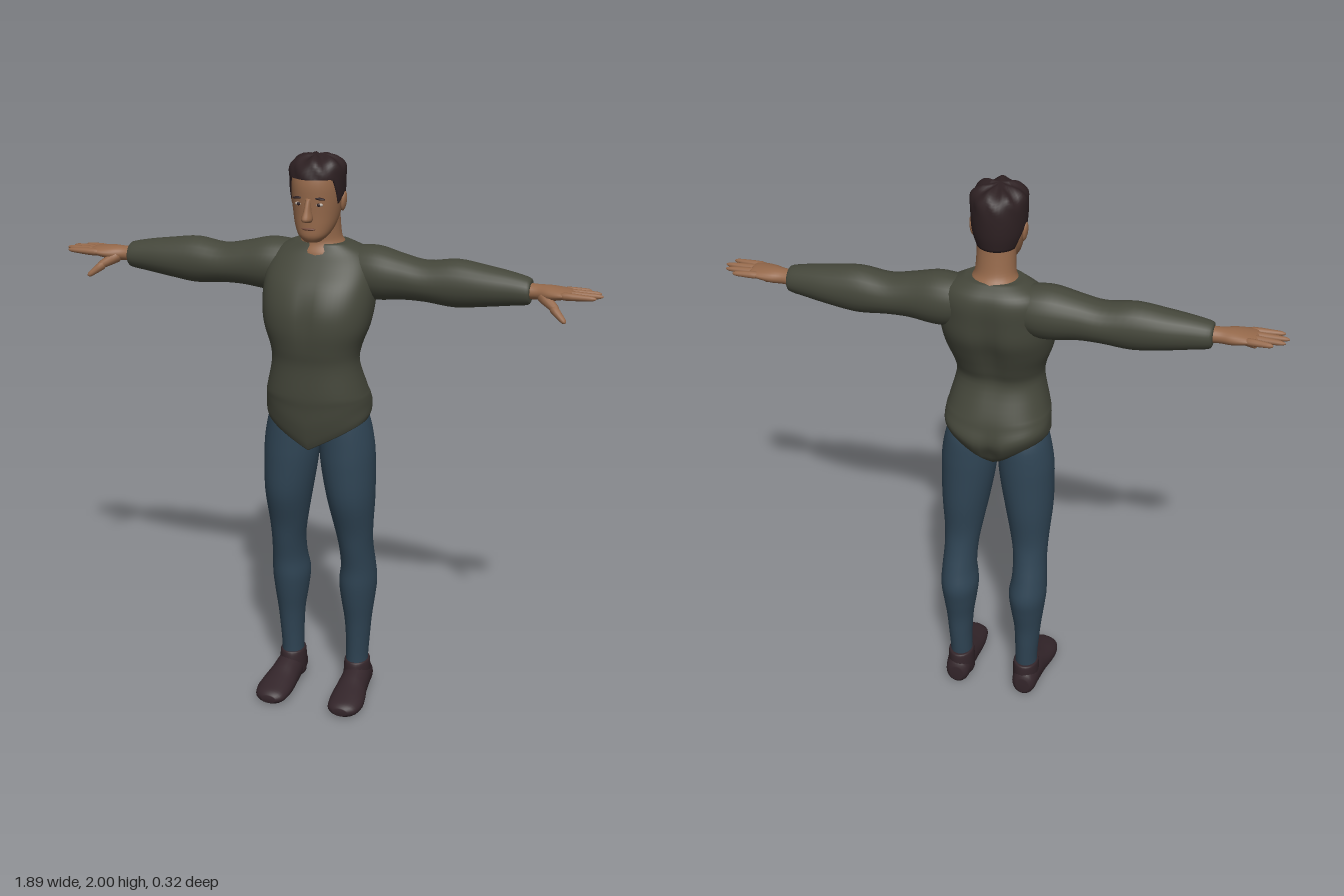
import * as THREE from 'three';

const mat = (name, color) => {
  const m = new THREE.MeshStandardMaterial({ color });
  m.name = name;
  return m;
};
const smooth = THREE.MathUtils.smoothstep;
const bell = (d, w) => Math.exp(-(d * d) / (w * w));

// Smooth skin over elliptical sections [position, centre1, centre2, radius1, radius2].
// Axis y: centres are x, z. Axis x: y, z. Axis z: x, y. Power < 1 squares the ellipse.
function loft(axis, sections, { n = 24, steps = 4, power = 1, warp } = {}) {
  const rows = [];
  const at = i => sections[Math.min(Math.max(i, 0), sections.length - 1)];
  for (let i = 0; i < sections.length - 1; i++) {
    for (let k = 0; k < steps; k++) {
      const t = k / steps;
      rows.push(at(i).map((p1, c) => {
        const p0 = at(i - 1)[c], p2 = at(i + 1)[c], p3 = at(i + 2)[c];
        return p1 + 0.5 * t * (p2 - p0 + t * (2 * p0 - 5 * p1 + 4 * p2 - p3 + t * (3 * (p1 - p2) + p3 - p0)));
      }));
    }
  }
  rows.push(at(sections.length));
  const pos = [], idx = [];
  const put = (p, a, b) => {
    const v = axis === 'y' ? new THREE.Vector3(a, p, b)
      : axis === 'x' ? new THREE.Vector3(p, a, b) : new THREE.Vector3(a, b, p);
    if (warp) warp(v);
    pos.push(v.x, v.y, v.z);
  };
  const bend = q => Math.sign(q) * Math.abs(q) ** power;
  for (const [p, c1, c2, r1, r2] of rows) {
    for (let j = 0; j < n; j++) {
      const a = (j / n) * Math.PI * 2, c = bend(Math.cos(a)), s = bend(Math.sin(a));
      if (axis === 'y') put(p, c1 + r1 * s, c2 + r2 * c);
      else put(p, c1 + r1 * c, c2 + r2 * s);
    }
  }
  const last = rows.length - 1, base = rows.length * n;
  put(rows[0][0], rows[0][1], rows[0][2]);
  put(rows[last][0], rows[last][1], rows[last][2]);
  for (let j = 0; j < n; j++) {
    const k = (j + 1) % n;
    for (let i = 0; i < last; i++) {
      const a = i * n + j, b = i * n + k;
      idx.push(a, b, b + n, a, b + n, a + n);
    }
    idx.push(base, k, j, base + 1, last * n + j, last * n + k);
  }
  const g = new THREE.BufferGeometry();
  g.setAttribute('position', new THREE.Float32BufferAttribute(pos, 3));
  g.setIndex(idx);
  g.computeVertexNormals();
  return g;
}

function mirrored(geo) {
  const g = geo.clone().scale(-1, 1, 1);
  const ix = g.index.array;
  for (let i = 0; i < ix.length; i += 3) [ix[i], ix[i + 1]] = [ix[i + 1], ix[i]];
  g.computeVertexNormals();
  return g;
}

// Tapered rounded rod between two points
function rod(a, b, r0, r1) {
  const A = new THREE.Vector3(...a), d = new THREE.Vector3(...b).sub(A), L = d.length();
  const g = loft('y', [[0, 0, 0, r0 * 0.6, r0 * 0.6], [L * 0.15, 0, 0, r0, r0], [L * 0.6, 0, 0, r1 * 1.1, r1 * 1.1],
    [L * 0.9, 0, 0, r1 * 0.8, r1 * 0.8], [L, 0, 0, r1 * 0.2, r1 * 0.2]], { n: 10, steps: 2 });
  g.applyQuaternion(new THREE.Quaternion().setFromUnitVectors(new THREE.Vector3(0, 1, 0), d.normalize()));
  return g.translate(A.x, A.y, A.z);
}

const blob = (x, y, z, rx, ry, rz, tilt = 0) =>
  new THREE.SphereGeometry(1, 16, 10).scale(rx, ry, rz).rotateZ(tilt).translate(x, y, z);

export function createModel() {
  const model = new THREE.Group();
  model.name = 'standingMan';
  const shirt = mat('olive shirt', 0x44463a), denim = mat('blue trousers', 0x2f4454);
  const skin = mat('skin', 0x94684a), hair = mat('dark hair', 0x2d2022);
  const shoe = mat('dark shoe', 0x33252a), white = mat('eye white', 0xb5aaa0);
  const lip = mat('lip', 0x734a3a);
  const add = (name, geo, m) => {
    const mesh = new THREE.Mesh(geo, m);
    mesh.name = name;
    model.add(mesh);
  };
  const pair = (name, geo, m) => {
    add(name + 'Left', geo, m);
    add(name + 'Right', mirrored(geo), m);
  };

  // Shirt body: hem rises to the hips, with a spine groove and a seat cleft
  add('shirtBody', loft('y', [
    [1.0, 0, 0.005, 0.176, 0.105], [1.03, 0, -0.005, 0.182, 0.125], [1.09, 0, -0.012, 0.182, 0.143],
    [1.15, 0, -0.002, 0.18, 0.138], [1.2, 0, 0.008, 0.174, 0.133], [1.3, 0, 0.028, 0.15, 0.112],
    [1.36, 0, 0.025, 0.156, 0.125], [1.43, 0, 0.015, 0.18, 0.143], [1.5, 0, -0.002, 0.19, 0.153],
    [1.57, 0, -0.02, 0.19, 0.14], [1.63, 0, -0.045, 0.182, 0.115], [1.67, 0, -0.055, 0.155, 0.09],
    [1.7, 0, -0.045, 0.095, 0.065],
  ], {
    n: 56, power: 0.87, warp: v => {
      if (v.z < -0.03) {
        v.z += 0.03 * bell(v.x, 0.022) * bell(v.y - 1.05, 0.06);
        v.z += 0.018 * bell(v.x, 0.035) * bell(v.y - 1.46, 0.14);
      } else if (v.z > 0.05) {
        v.z -= 0.008 * bell(v.x, 0.025) * bell(v.y - 1.48, 0.08);
      }
      v.y += 0.1 * Math.max(0, (1.2 - v.y) / 0.2) * Math.min(1, Math.abs(v.x) / 0.18);
    },
  }), shirt);

  // Sleeves
  pair('sleeve', loft('x', [
    [0.08, 1.61, -0.06, 0.07, 0.07], [0.14, 1.602, -0.058, 0.088, 0.083], [0.2, 1.6, -0.055, 0.09, 0.085],
    [0.28, 1.595, -0.052, 0.076, 0.076], [0.36, 1.588, -0.052, 0.069, 0.073], [0.46, 1.59, -0.052, 0.08, 0.072],
    [0.56, 1.59, -0.05, 0.068, 0.066], [0.64, 1.59, -0.047, 0.056, 0.055], [0.7, 1.588, -0.044, 0.045, 0.045],
    [0.71, 1.588, -0.043, 0.034, 0.036],
  ]), shirt);

  // Hands
  pair('palm', loft('x', [
    [0.68, 1.59, -0.042, 0.027, 0.032], [0.73, 1.59, -0.04, 0.025, 0.031], [0.77, 1.591, -0.036, 0.025, 0.043],
    [0.81, 1.594, -0.033, 0.019, 0.048], [0.84, 1.596, -0.032, 0.013, 0.044], [0.85, 1.596, -0.032, 0.005, 0.036],
  ]), skin);
  [[-0.066, -0.08, 0.9], [-0.043, -0.054, 0.935], [-0.02, -0.025, 0.945], [0.003, 0.008, 0.928]]
    .forEach(([z0, z1, tip], i) =>
      pair('finger' + (i + 1), rod([0.81, 1.595, z0], [tip, 1.597, z1], 0.013, 0.0095), skin));
  pair('thumbBase', rod([0.745, 1.587, -0.025], [0.81, 1.548, 0.02], 0.021, 0.015), skin);
  pair('thumbTip', rod([0.79, 1.558, 0.01], [0.84, 1.518, 0.04], 0.015, 0.0105), skin);

  // Trouser legs
  pair('trouserLeg', loft('y', [
    [0.1, 0.125, -0.07, 0.04, 0.045], [0.15, 0.125, -0.072, 0.04, 0.048], [0.22, 0.127, -0.072, 0.043, 0.053],
    [0.3, 0.128, -0.07, 0.049, 0.06], [0.38, 0.127, -0.07, 0.06, 0.075], [0.45, 0.127, -0.07, 0.067, 0.085],
    [0.52, 0.13, -0.06, 0.061, 0.078], [0.6, 0.127, -0.042, 0.06, 0.075], [0.68, 0.122, -0.028, 0.068, 0.078],
    [0.8, 0.115, -0.015, 0.084, 0.1], [0.92, 0.105, -0.012, 0.095, 0.104], [1.0, 0.1, -0.012, 0.096, 0.103],
    [1.08, 0.095, -0.01, 0.086, 0.098], [1.14, 0.09, 0, 0.07, 0.08],
  ]), denim);

  // Shoes, flat underneath, with ankle collars
  pair('shoe', loft('z', [
    [-0.14, 0.128, 0.045, 0.025, 0.03], [-0.122, 0.128, 0.05, 0.043, 0.052], [-0.06, 0.13, 0.055, 0.05, 0.06],
    [0, 0.132, 0.045, 0.054, 0.056], [0.05, 0.136, 0.037, 0.061, 0.046], [0.1, 0.139, 0.032, 0.063, 0.037],
    [0.145, 0.138, 0.029, 0.052, 0.027], [0.165, 0.136, 0.028, 0.026, 0.014],
  ], { warp: v => { v.y = Math.max(v.y, 0); } }), shoe);
  pair('shoeCollar', loft('y', [
    [0.03, 0.126, -0.07, 0.048, 0.064], [0.08, 0.125, -0.072, 0.048, 0.062], [0.122, 0.125, -0.074, 0.046, 0.056],
    [0.128, 0.125, -0.074, 0.039, 0.047],
  ]), shoe);

  // Neck and head
  add('neck', loft('y', [
    [1.64, 0, -0.05, 0.1, 0.092], [1.67, 0, -0.05, 0.094, 0.088], [1.695, 0, -0.045, 0.078, 0.07],
    [1.72, 0, -0.038, 0.067, 0.06], [1.77, 0, -0.03, 0.064, 0.058], [1.83, 0, -0.02, 0.064, 0.06],
  ]), skin);
  add('head', loft('y', [
    [1.72, 0, 0.055, 0.028, 0.034], [1.74, 0, 0.046, 0.05, 0.056], [1.77, 0, 0.028, 0.066, 0.075],
    [1.81, 0, 0.014, 0.076, 0.089], [1.86, 0, 0.01, 0.082, 0.095], [1.91, 0, 0.01, 0.083, 0.095],
    [1.95, 0, 0.01, 0.074, 0.082], [1.98, 0, 0.01, 0.04, 0.045],
  ], { n: 32, power: 0.95 }), skin);
  add('nose', loft('y', [
    [1.792, 0, 0.107, 0.013, 0.014], [1.803, 0, 0.114, 0.018, 0.03], [1.83, 0, 0.106, 0.012, 0.024],
    [1.868, 0, 0.099, 0.009, 0.012],
  ], { n: 16 }), skin);
  pair('ear', blob(0.086, 1.845, -0.002, 0.009, 0.033, 0.019, -0.12), skin);

  // Eyes, brows and mouth
  pair('eye', blob(0.034, 1.848, 0.094, 0.014, 0.006, 0.007), white);
  pair('pupil', blob(0.034, 1.848, 0.0985, 0.006, 0.0055, 0.004), hair);
  pair('brow', blob(0.035, 1.868, 0.095, 0.021, 0.0045, 0.008, -0.1), hair);
  add('mouth', blob(0, 1.767, 0.1, 0.024, 0.005, 0.007), lip);

  // Hair: hairline is high on the brow, lower at the temples and nape; wavy on top
  add('hair', loft('y', [
    [1.8, 0, -0.012, 0.068, 0.074], [1.85, 0, 0.003, 0.087, 0.097], [1.92, 0, 0.008, 0.092, 0.101],
    [1.96, 0, 0.009, 0.089, 0.092], [1.983, 0, 0.012, 0.066, 0.068], [1.994, 0, 0.018, 0.028, 0.03],
  ], {
    n: 48, warp: v => {
      const a = Math.atan2(v.x, v.z), c = Math.cos(a);
      const line = 1.8 + 0.065 * smooth(c, -0.55, -0.15) - 0.025 * smooth(c, 0.15, 0.35)
        + 0.088 * smooth(c, 0.4, 0.72);
      const top = smooth(v.y, 1.9, 1.96);
      const wave = 1 + 0.035 * top * Math.sin(9 * a + 60 * v.y);
      v.x *= wave;
      v.z *= wave;
      v.y += 0.006 * top * Math.sin(7 * a + 1) * Math.min(1, Math.hypot(v.x, v.z) / 0.05);
      v.y = Math.max(v.y, line);
    },
  }), hair);

  return model;
}
